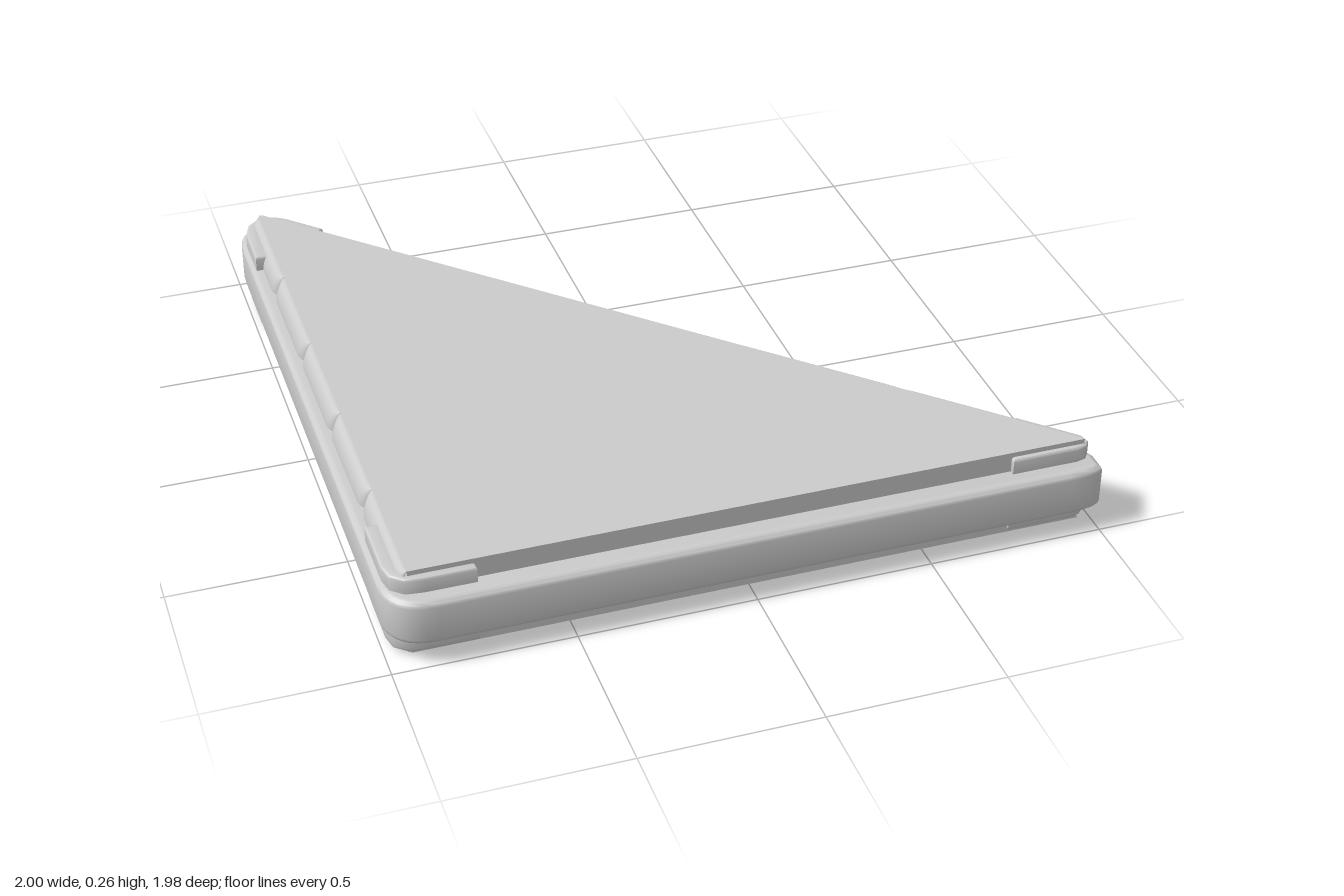
import * as THREE from 'three';
import { toCreasedNormals } from 'three/addons/utils/BufferGeometryUtils.js';
import { ParametricGeometry } from 'three/addons/geometries/ParametricGeometry.js';

const HALF = 0.1325; // half of the total height
const grey = new THREE.MeshStandardMaterial({ color: 0xcccccc, side: THREE.DoubleSide });

// Horizontal slab from an x/z outline, between two heights, with rounded rims
function slab(name, points, bottom, top, bevel) {
  const shape = new THREE.Shape(points.map(([x, z]) => new THREE.Vector2(x, z)));
  let geo = new THREE.ExtrudeGeometry(shape, {
    depth: top - bottom - 2 * bevel,
    bevelEnabled: bevel > 0,
    bevelSize: bevel,
    bevelOffset: -bevel,
    bevelThickness: bevel,
    bevelSegments: 3,
  });
  geo.rotateX(Math.PI / 2);
  geo.translate(0, top - bevel, 0);
  geo = toCreasedNormals(geo, 0.7);
  const mesh = new THREE.Mesh(geo, grey);
  mesh.name = name;
  return mesh;
}

// Replaces each corner of a polygon with a short curve
function roundCorners(corners, cuts, steps = 6) {
  const out = [];
  corners.forEach((c, i) => {
    const p = new THREE.Vector2(...c);
    const toward = (q) => new THREE.Vector2(...q).sub(p).setLength(cuts[i]).add(p);
    const n = corners.length;
    const curve = new THREE.QuadraticBezierCurve(
      toward(corners[(i + n - 1) % n]), p, toward(corners[(i + 1) % n]));
    curve.getPoints(steps).forEach((v) => out.push([v.x, v.y]));
  });
  return out;
}

// Quarter-round cushion along an edge, narrowing at both ends
function cushion(a, b, outward, depth) {
  const geo = new ParametricGeometry((u, v, target) => {
    const s = (1 - Math.cos(u * Math.PI)) / 2;
    const end = Math.min(1, Math.min(s, 1 - s) / 0.1);
    const swell = 0.25 + 0.75 * Math.sqrt(1 - (1 - end) ** 2);
    const angle = v * Math.PI / 2;
    const out = depth * swell * Math.sin(angle);
    target.set(
      a[0] + (b[0] - a[0]) * s + outward[0] * out,
      0.06 + (HALF - 0.06) * Math.cos(angle),
      a[1] + (b[1] - a[1]) * s + outward[1] * out);
  }, 20, 8);
  const mesh = new THREE.Mesh(geo, grey);
  mesh.name = 'edgeCushion';
  return mesh;
}

// Cushions, corner guards: everything standing above the rim
function upperDetails() {
  const group = new THREE.Group();
  const stops = [0, 0.2, 0.4, 0.6, 0.8, 1];
  const row = (start, end, outward, depth) => {
    const at = (t) => [0, 1].map((k) => start[k] + (end[k] - start[k]) * t);
    for (let i = 0; i < 5; i++) group.add(cushion(at(stops[i]), at(stops[i + 1]), outward, depth));
  };
  row([-0.93, 0.93], [-0.93, -0.945], [-1, 0], 0.036);
  row([-0.925, -0.945], [0.965, 0.925], [Math.SQRT1_2, -Math.SQRT1_2], 0.026);

  const guards = {
    frontRightGuard: [[-0.985, 0.69], [-0.985, 0.87], [-0.975, 0.915], [-0.94, 0.945],
      [-0.89, 0.951], [-0.75, 0.951], [-0.75, 0.91], [-0.94, 0.91], [-0.94, 0.69]],
    frontLeftGuard: [[0.75, 0.945], [0.94, 0.945], [0.968, 0.938], [0.982, 0.92], [0.975, 0.89],
      [0.84, 0.755], [0.815, 0.78], [0.93, 0.91], [0.75, 0.91]],
    backGuard: [[-0.985, -0.73], [-0.985, -0.88], [-0.968, -0.93], [-0.93, -0.96],
      [-0.88, -0.955], [-0.85, -0.935], [-0.755, -0.84], [-0.78, -0.815], [-0.9, -0.92],
      [-0.94, -0.9], [-0.94, -0.73]],
  };
  for (const [name, points] of Object.entries(guards)) {
    group.add(slab(name, points, 0.05, 0.118, 0.007));
  }
  return group;
}

export function createModel() {
  const model = new THREE.Group();
  model.name = 'triangularTile';
  const body = new THREE.Group();
  body.name = 'body';
  body.position.y = HALF;
  model.add(body);

  // Core plate, full height
  body.add(slab('corePlate', [[-0.93, -0.95], [-0.92, -0.95], [0.965, 0.925], [0.965, 0.93],
    [-0.93, 0.93]], -HALF, HALF, 0));

  // Rounded rim around the middle
  const rim = roundCorners([[-1, -1.06], [1.1, 1], [-1, 1]], [0.2, 0.2, 0.13], 8)
    .map(([x, z]) => [Math.min(x, 1), Math.max(z, -1)]);
  body.add(slab('rim', rim, -0.064, 0.072, 0.018));

  // Matching details on the top and bottom
  const top = upperDetails();
  top.name = 'topDetails';
  const bottom = upperDetails();
  bottom.name = 'bottomDetails';
  bottom.scale.y = -1;
  body.add(top, bottom);
  return model;
}
